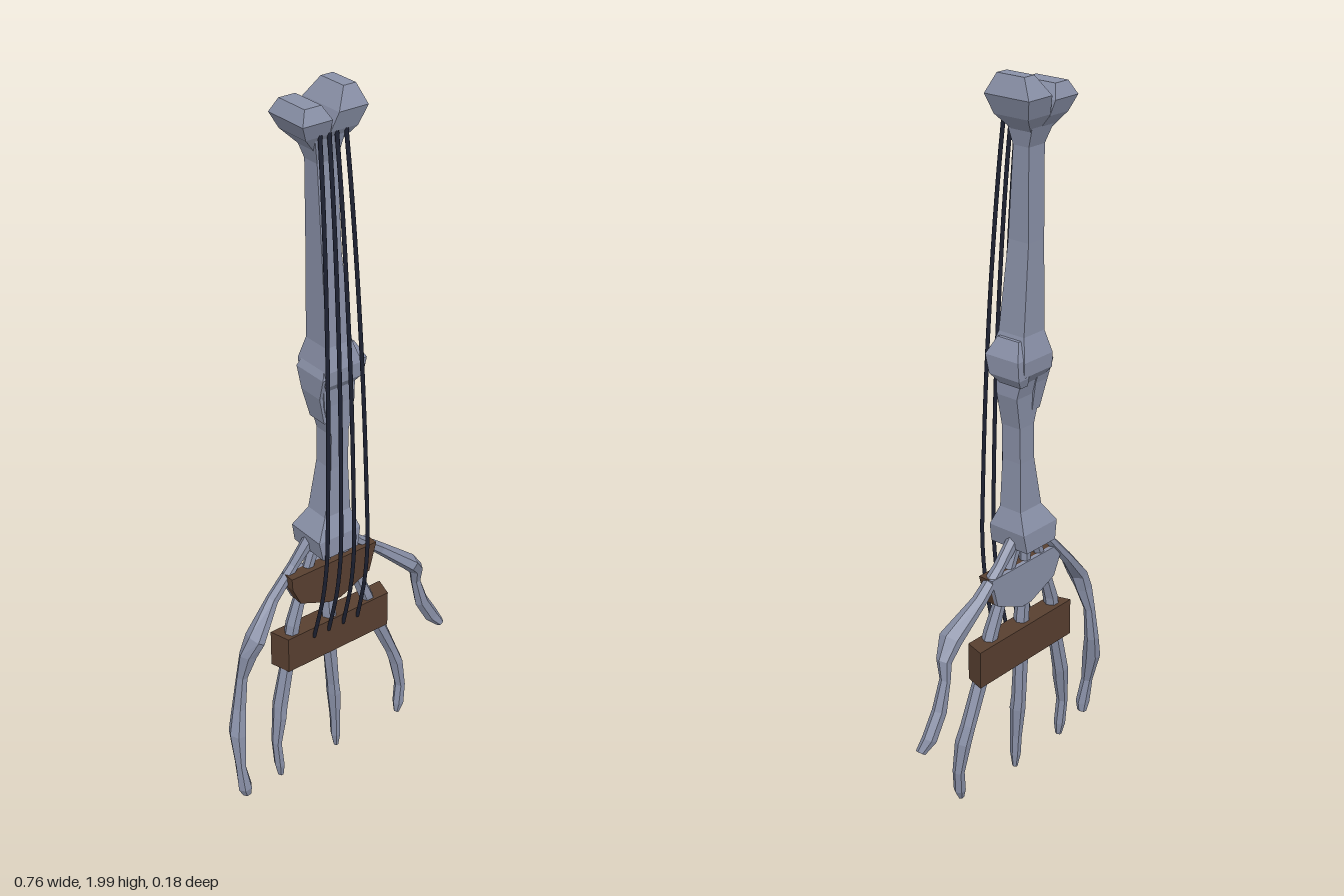
import * as THREE from 'three';

const mat = (name, color) => {
  const m = new THREE.MeshStandardMaterial({ color, flatShading: true });
  m.name = name;
  return m;
};

// Loft of rings along a path; each section is [x, y, z, half width, half depth].
function loft(sections, { sides = 6, phase = 0, level = false } = {}) {
  const pos = [], index = [], last = sections.length - 1;
  const k = sides === 4 ? Math.SQRT2 : 1;
  sections.forEach(([x, y, z, a, b], i) => {
    const p = sections[Math.max(i - 1, 0)], q = sections[Math.min(i + 1, last)];
    const t = level ? new THREE.Vector2(0, 1) : new THREE.Vector2(q[0] - p[0], q[1] - p[1]).normalize();
    for (let j = 0; j < sides; j++) {
      const w = phase + (j / sides) * Math.PI * 2, c = Math.cos(w) * a * k;
      pos.push(x + t.y * c, y - t.x * c, z + Math.sin(w) * b * k);
    }
  });
  for (let i = 0; i < last; i++) for (let j = 0; j < sides; j++) {
    const n = (j + 1) % sides, A = i * sides + j, B = i * sides + n;
    index.push(A, A + sides, B, B, A + sides, B + sides);
  }
  const e = last * sides;
  for (let j = 1; j < sides - 1; j++) index.push(0, j, j + 1, e, e + j + 1, e + j);
  const g = new THREE.BufferGeometry();
  g.setAttribute('position', new THREE.Float32BufferAttribute(pos, 3));
  g.setIndex(index);
  const flat = g.toNonIndexed();
  flat.computeVertexNormals();
  return flat;
}

export function createModel() {
  const model = new THREE.Group();
  const bone = mat('greyBone', 0x8a91a8);
  const wood = mat('brownWood', 0x583f30);
  const cord = mat('darkString', 0x1c2030);
  const add = (name, geometry, material) => {
    const m = new THREE.Mesh(geometry, material);
    m.name = name;
    model.add(m);
    return m;
  };
  const boxy = { sides: 4, phase: Math.PI / 4, level: true };

  // Upper arm bone with its split shoulder head
  add('upperArmBone', loft([
    [-0.03, 1.2, 0, 0.03, 0.03], [-0.03, 1.24, 0, 0.055, 0.058], [-0.03, 1.28, 0, 0.055, 0.06],
    [-0.033, 1.34, 0, 0.04, 0.042], [-0.045, 1.58, -0.004, 0.03, 0.033],
    [-0.047, 1.82, -0.01, 0.03, 0.025], [-0.05, 1.89, -0.014, 0.045, 0.045],
  ], boxy), bone);
  add('shoulderKnobLeft', loft([
    [-0.04, 1.85, -0.015, 0.02, 0.025], [-0.014, 1.9, -0.016, 0.041, 0.054],
    [0.002, 1.95, -0.017, 0.043, 0.07], [0.008, 2.0, -0.014, 0.018, 0.043],
  ], boxy), bone);
  add('shoulderKnobRight', loft([
    [-0.06, 1.85, -0.015, 0.022, 0.025], [-0.09, 1.895, -0.016, 0.035, 0.052],
    [-0.101, 1.935, -0.016, 0.043, 0.067], [-0.102, 1.97, -0.016, 0.024, 0.05],
  ], boxy), bone);

  // Elbow knobs
  add('elbowKnobLeft', loft([
    [0.015, 1.21, -0.015, 0.014, 0.035], [0.025, 1.235, -0.008, 0.02, 0.05],
    [0.025, 1.285, 0, 0.02, 0.055], [0.008, 1.33, 0, 0.012, 0.035],
  ], boxy), bone);
  add('elbowKnobRight', loft([
    [-0.06, 1.12, 0.004, 0.015, 0.03], [-0.068, 1.2, 0, 0.024, 0.038],
    [-0.07, 1.26, 0, 0.024, 0.055], [-0.06, 1.31, 0, 0.012, 0.035],
  ], boxy), bone);

  // Forearm bone flaring into the wrist block
  add('forearmBone', loft([
    [-0.05, 0.73, 0.007, 0.058, 0.063], [-0.05, 0.785, 0.007, 0.068, 0.06],
    [-0.04, 0.84, 0.008, 0.042, 0.036], [-0.03, 0.98, 0.008, 0.028, 0.031],
    [-0.028, 1.08, 0.008, 0.028, 0.031], [-0.03, 1.17, 0.006, 0.048, 0.034],
    [-0.035, 1.24, 0, 0.05, 0.045],
  ], boxy), bone);

  // Fingers, wrist to tip
  const fingers = {
    thumb: [[0.0, 0.75, 0, 0.02, 0.018], [0.06, 0.69, 0, 0.014, 0.018], [0.14, 0.625, -0.002, 0.017, 0.022],
      [0.235, 0.545, 0.015, 0.024, 0.036], [0.272, 0.5, 0.005, 0.021, 0.022], [0.28, 0.45, -0.005, 0.014, 0.016],
      [0.305, 0.365, -0.006, 0.021, 0.02], [0.345, 0.295, -0.005, 0.022, 0.02], [0.37, 0.262, 0.004, 0.013, 0.014]],
    littleFinger: [[-0.1, 0.76, 0, 0.02, 0.018], [-0.15, 0.69, -0.008, 0.014, 0.016], [-0.22, 0.61, -0.008, 0.017, 0.018],
      [-0.295, 0.525, 0.014, 0.023, 0.034], [-0.313, 0.475, 0.005, 0.027, 0.024], [-0.327, 0.4, -0.008, 0.016, 0.017],
      [-0.34, 0.3, -0.008, 0.019, 0.022], [-0.358, 0.225, 0.005, 0.023, 0.028], [-0.365, 0.13, 0.025, 0.014, 0.018],
      [-0.358, 0.05, 0.034, 0.021, 0.02], [-0.352, 0.022, 0.032, 0.013, 0.014]],
    ringFinger: [[-0.075, 0.76, 0, 0.018, 0.018], [-0.115, 0.65, 0, 0.014, 0.015], [-0.165, 0.51, 0.006, 0.02, 0.022],
      [-0.185, 0.38, 0.004, 0.02, 0.02], [-0.212, 0.25, 0.004, 0.021, 0.024], [-0.218, 0.215, 0.008, 0.019, 0.024],
      [-0.232, 0.13, 0.012, 0.013, 0.018], [-0.227, 0.05, 0.016, 0.014, 0.018], [-0.225, 0.012, 0.018, 0.008, 0.01]],
    middleFinger: [[-0.05, 0.76, 0, 0.018, 0.018], [-0.047, 0.62, 0, 0.014, 0.015], [-0.042, 0.5, 0.006, 0.021, 0.022],
      [-0.038, 0.38, 0.004, 0.022, 0.02], [-0.028, 0.24, 0.004, 0.017, 0.023], [-0.026, 0.205, 0.006, 0.019, 0.024],
      [-0.024, 0.11, 0.01, 0.014, 0.018], [-0.024, 0.05, 0.012, 0.014, 0.016], [-0.022, 0.008, 0.012, 0.007, 0.008]],
    indexFinger: [[-0.02, 0.76, 0, 0.018, 0.018], [0.025, 0.65, 0, 0.014, 0.015], [0.085, 0.5, 0.006, 0.02, 0.022],
      [0.135, 0.37, 0.002, 0.022, 0.02], [0.185, 0.255, 0.002, 0.018, 0.022], [0.202, 0.205, 0.006, 0.02, 0.024],
      [0.215, 0.115, 0.012, 0.015, 0.018], [0.207, 0.05, 0.016, 0.017, 0.017], [0.2, 0.02, 0.018, 0.008, 0.009]],
  };
  for (const [name, sections] of Object.entries(fingers)) add(name, loft(sections), bone);

  // Palm: wooden plate backed with bone
  const outline = [[-0.18, 0.675], [-0.178, 0.64], [-0.152, 0.585], [-0.055, 0.545],
    [-0.015, 0.545], [0.083, 0.59], [0.106, 0.675]].map(([x, y]) => new THREE.Vector2(x, y));
  const plate = (depth, z) => new THREE.ExtrudeGeometry(new THREE.Shape(outline),
    { depth, bevelEnabled: false }).translate(0, 0, z);
  add('palmPlate', plate(0.034, -0.006), wood);
  add('palmBone', plate(0.012, -0.018), bone);

  // String bar, narrower at the front
  const bar = new THREE.BoxGeometry(0.38, 0.11, 0.058);
  const p = bar.attributes.position;
  for (let i = 0; i < p.count; i++) if (p.getZ(i) > 0) p.setX(i, p.getX(i) * 0.91);
  bar.computeVertexNormals();
  add('stringBar', bar, wood).position.set(-0.025, 0.43, 0.002);

  // Bowed strings from the shoulder to the bar
  const tops = [-0.083, -0.056, -0.034, -0.006], ends = [-0.11, -0.06, -0.01, 0.04];
  const bow = [[1.9, 0.034], [1.75, 0.048], [1.5, 0.065], [1.2, 0.078], [0.9, 0.083],
    [0.73, 0.082], [0.6, 0.066], [0.52, 0.047], [0.455, 0.03]];
  tops.forEach((top, i) => {
    const pts = bow.map(([y, z]) =>
      new THREE.Vector3(THREE.MathUtils.mapLinear(y, 1.9, 0.455, top, ends[i]), y, z));
    add('string' + (i + 1), new THREE.TubeGeometry(new THREE.CatmullRomCurve3(pts), 32, 0.0055, 12), cord);
  });
  return model;
}
